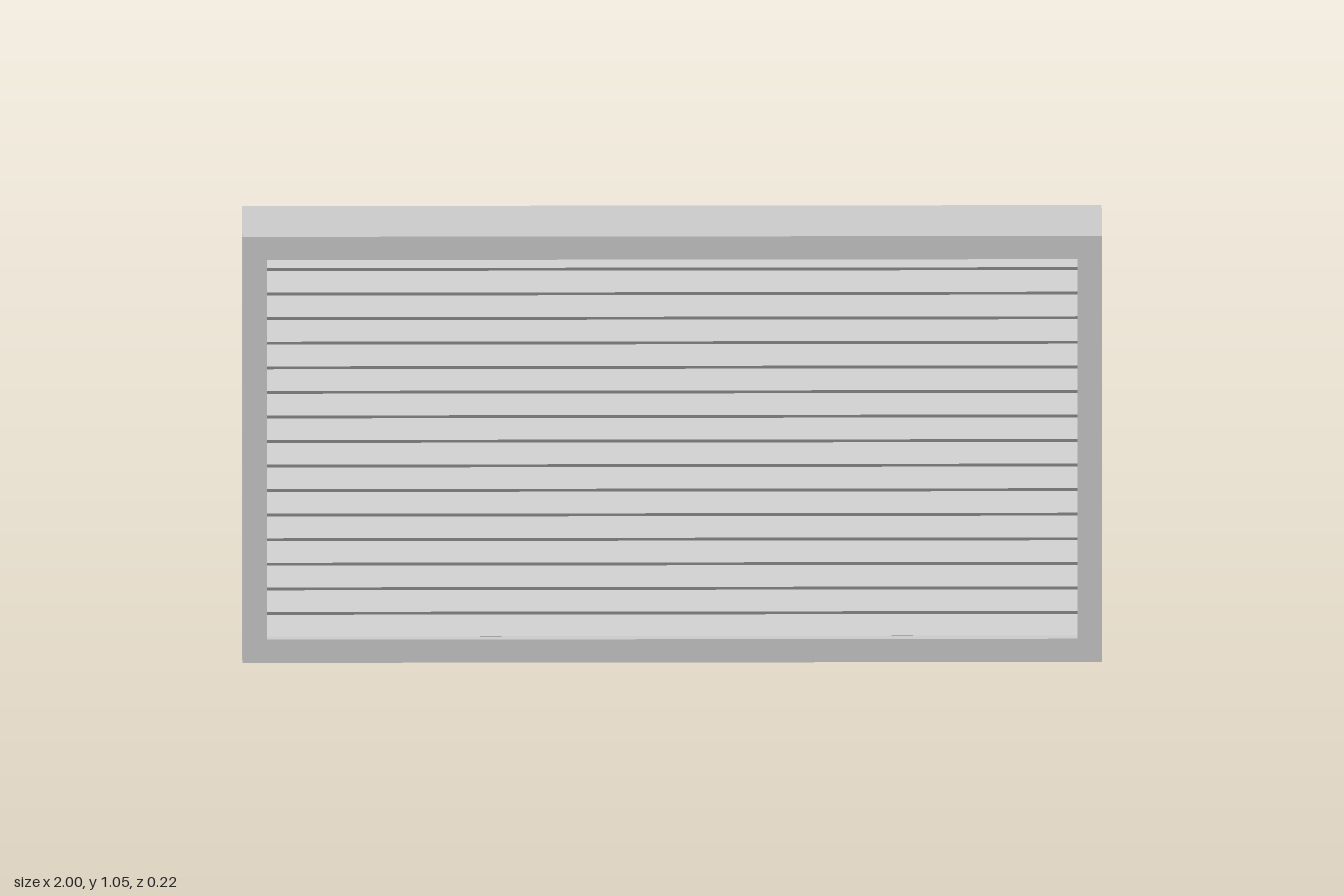
import * as THREE from 'three';

const WIDTH = 2, HEIGHT = 1.046, DEPTH = 0.224, BORDER = 0.057;

function rectangle(path, x, y0, y1) {
  path.moveTo(-x, y0);
  path.lineTo(x, y0);
  path.lineTo(x, y1);
  path.lineTo(-x, y1);
  path.closePath();
  return path;
}

export function createModel() {
  const group = new THREE.Group();
  group.name = 'louvreVent';
  const material = new THREE.MeshStandardMaterial({ color: 0xcccccc });

  // Deep rectangular frame, open at front and back
  const outline = rectangle(new THREE.Shape(), WIDTH / 2, 0, HEIGHT);
  outline.holes.push(rectangle(new THREE.Path(), WIDTH / 2 - BORDER, BORDER, HEIGHT - BORDER));
  const frameGeometry = new THREE.ExtrudeGeometry(outline, { depth: DEPTH, bevelEnabled: false });
  frameGeometry.translate(0, 0, -DEPTH / 2);
  const frame = new THREE.Mesh(frameGeometry, material);
  frame.name = 'frame';
  group.add(frame);

  // Tilted slats near the front, sloping down towards it
  const slats = new THREE.Group();
  slats.name = 'slats';
  const slatGeometry = new THREE.BoxGeometry(WIDTH - 2 * BORDER, 0.013, 0.065);
  const count = 16, pitch = 0.0603;
  for (let i = 0; i < count; i++) {
    const slat = new THREE.Mesh(slatGeometry, material);
    slat.name = `slat${i + 1}`;
    slat.position.set(0, 0.073 + i * pitch, 0.06);
    slat.rotation.x = THREE.MathUtils.degToRad(40);
    slats.add(slat);
  }
  group.add(slats);

  return group;
}
